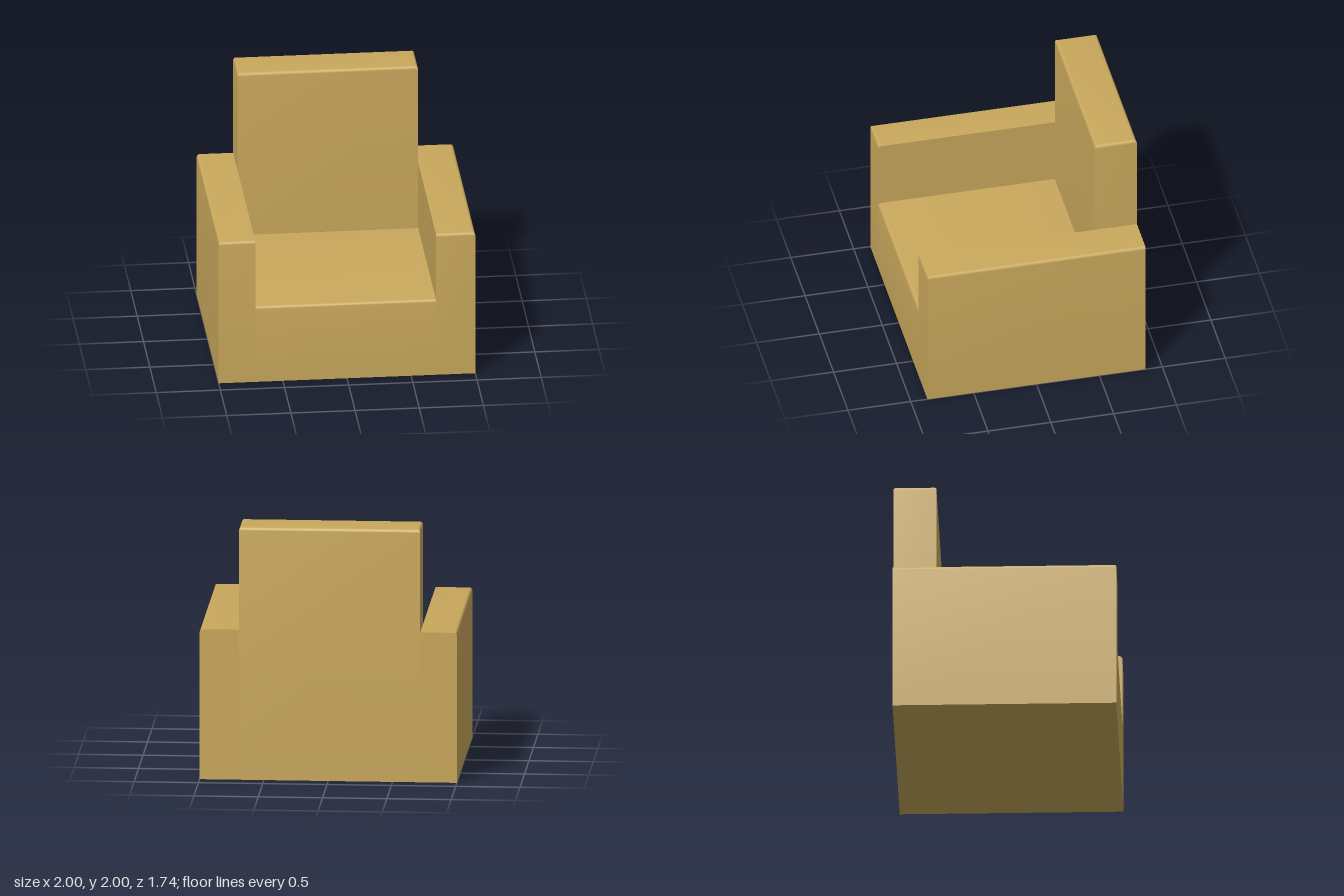
import * as THREE from 'three';
import { toCreasedNormals } from 'three/addons/utils/BufferGeometryUtils.js';

const RADIUS = 0.025;
const STEPS = 6;

// Upright block whose top edges are rounded on the chosen sides (1 = rounded, 0 = sharp).
function roundedTopBlock([x0, x1], [y0, y1], [z0, z1], { left = 0, right = 0, front = 0, back = 0 }) {
  const positions = [];
  const index = [];
  const addRing = (y, inset) => positions.push(
    x0 + inset * right, y, z1 - inset * front,
    x1 - inset * left, y, z1 - inset * front,
    x1 - inset * left, y, z0 + inset * back,
    x0 + inset * right, y, z0 + inset * back
  );

  // Rectangular cross-sections from the floor up through the rounded rim
  addRing(y0, 0);
  for (let i = 0; i <= STEPS; i++) {
    const a = (i / STEPS) * Math.PI / 2;
    addRing(y1 - RADIUS + RADIUS * Math.sin(a), RADIUS * (1 - Math.cos(a)));
  }

  // Side walls, then bottom and top
  for (let ring = 0; ring <= STEPS; ring++) {
    for (let k = 0; k < 4; k++) {
      const a = ring * 4 + k;
      const b = ring * 4 + (k + 1) % 4;
      index.push(a, b, b + 4, a, b + 4, a + 4);
    }
  }
  const t = (STEPS + 1) * 4;
  index.push(0, 2, 1, 0, 3, 2, t, t + 1, t + 2, t, t + 2, t + 3);

  const geometry = new THREE.BufferGeometry();
  geometry.setAttribute('position', new THREE.Float32BufferAttribute(positions, 3));
  geometry.setIndex(index);
  return toCreasedNormals(geometry, 0.35);
}

export function createModel() {
  const armchair = new THREE.Group();
  armchair.name = 'armchair';

  const upholstery = new THREE.MeshStandardMaterial({ color: 0xc9a85c });
  upholstery.name = 'tan upholstery';

  const addPart = (name, x, y, z, rounded) => {
    const mesh = new THREE.Mesh(roundedTopBlock(x, y, z, rounded), upholstery);
    mesh.name = name;
    armchair.add(mesh);
  };

  const innerRight = -0.715;
  const innerLeft = 0.693;
  const depth = 0.868;
  const backFront = -0.535;

  // Arms, rounded along the outer and front top edges
  addPart('rightArm', [-1, innerRight], [0, 1.188], [-depth, depth], { right: 1, front: 1 });
  addPart('leftArm', [innerLeft, 1], [0, 1.188], [-depth, depth], { left: 1, front: 1 });

  // Seat between the arms
  addPart('seat', [innerRight, innerLeft], [0, 0.635], [backFront, depth], { front: 1 });

  // Backrest running down to the floor, flush with the rear of the arms
  addPart('backrest', [innerRight, innerLeft], [0, 2], [-depth, backFront],
    { left: 1, right: 1, front: 1, back: 1 });

  return armchair;
}
